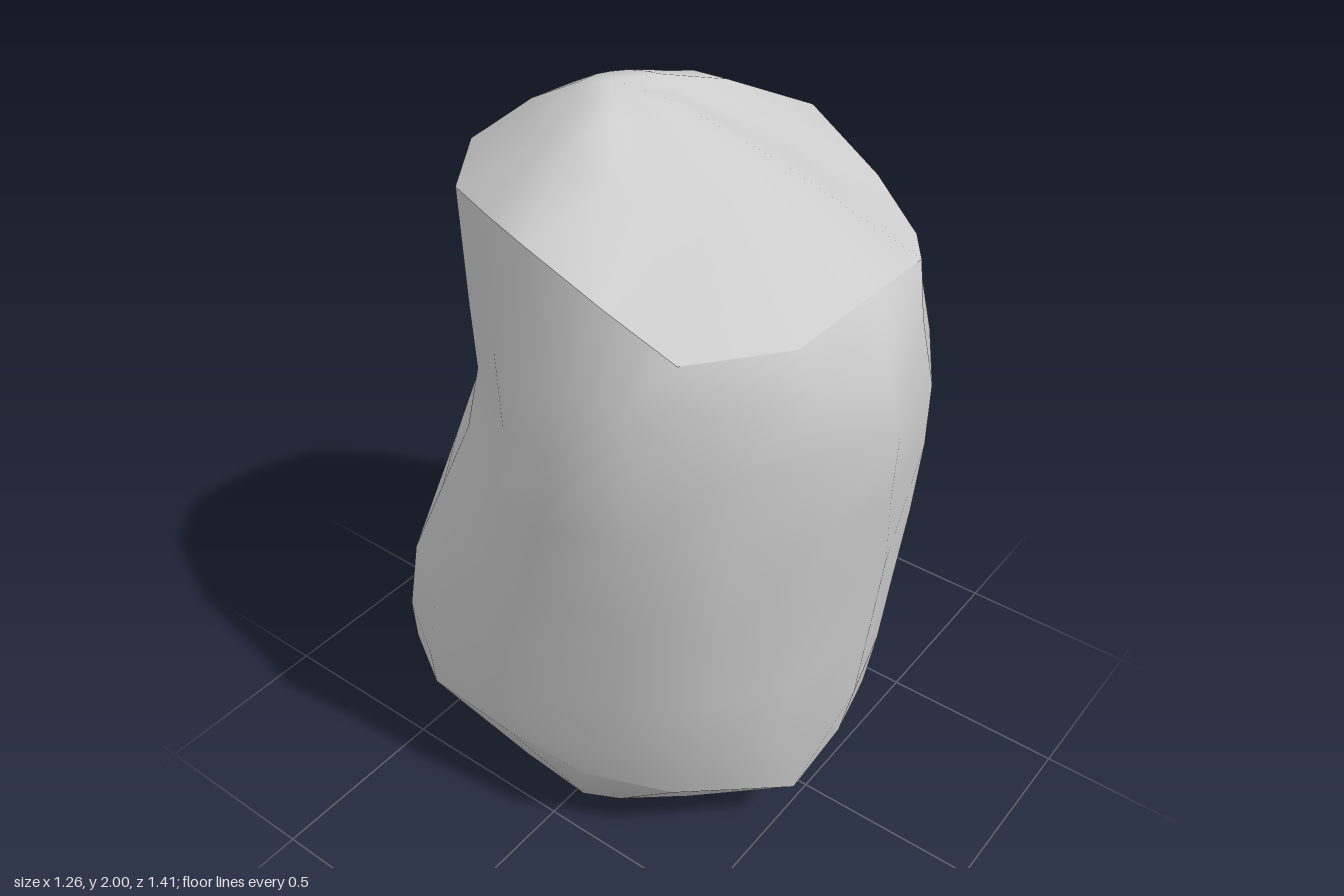
import * as THREE from 'three';
import { mergeVertices } from 'three/addons/utils/BufferGeometryUtils.js';

const SIDES = 16;

// Uneven oval ring at height y: extents on each side of a middle (x0, z0), then the
// squareness of its front right (+x), back right, back left and front left corners.
// Points run from the front (+z) round by +x.
function ovalRing([y, xMin, xMax, zMin, zMax, x0, z0, ...corners]) {
  const ring = [];
  for (let i = 0; i < SIDES; i++) {
    const a = (i / SIDES) * Math.PI * 2;
    const s = Math.sin(a), c = Math.cos(a);
    const e = corners[Math.floor((i * 4) / SIDES)];
    const u = Math.pow(Math.abs(s), 2 / e), v = Math.pow(Math.abs(c), 2 / e);
    ring.push([
      x0 + u * (s > 0 ? xMax - x0 : xMin - x0),
      y,
      z0 + v * (c > 0 ? zMax - z0 : zMin - z0),
    ]);
  }
  return ring;
}

// Ring between a rim and a point: t = 0 is the rim, 1 the point; lift raises it.
function shrinkRing(rim, point, t, lift = 0) {
  return rim.map((p) => p.map((v, k) => v + (point[k] - v) * t + (k === 1 ? lift : 0)));
}

// Smooth skin over rings listed from bottom to top.
function skin(name, rings, material) {
  const index = [];
  for (let r = 0; r < rings.length - 1; r++) {
    for (let i = 0; i < SIDES; i++) {
      const j = (i + 1) % SIDES;
      const a = r * SIDES + i, b = r * SIDES + j;
      index.push(a, b, b + SIDES, a, b + SIDES, a + SIDES);
    }
  }
  let geometry = new THREE.BufferGeometry();
  geometry.setAttribute('position', new THREE.Float32BufferAttribute(rings.flat(2), 3));
  geometry.setIndex(index);
  geometry = mergeVertices(geometry);
  geometry.computeVertexNormals();
  const mesh = new THREE.Mesh(geometry, material);
  mesh.name = name;
  return mesh;
}

export function createModel() {
  const group = new THREE.Group();
  group.name = 'boulder';
  const stone = new THREE.MeshStandardMaterial({ color: 0xcccccc, roughness: 0.9 });

  // Chipped edge round the foot
  const lowerRim = [
    [0.05, 0.22, 0.56], [0.22, 0.25, 0.53], [0.37, 0.30, 0.42], [0.52, 0.30, 0.24],
    [0.60, 0.30, 0.00], [0.625, 0.31, -0.16], [0.58, 0.30, -0.39], [0.38, 0.31, -0.55],
    [0.05, 0.33, -0.65], [-0.18, 0.33, -0.65], [-0.44, 0.31, -0.54], [-0.54, 0.31, -0.37],
    [-0.55, 0.30, -0.10], [-0.53, 0.28, 0.14], [-0.42, 0.25, 0.35], [-0.17, 0.19, 0.56],
  ];

  // Slanted edge round the crown, low at the front
  const upperRim = [
    [0.00, 1.635, 0.58], [0.20, 1.62, 0.575], [0.37, 1.575, 0.47], [0.43, 1.66, 0.32],
    [0.39, 1.81, 0.15], [0.36, 1.82, 0.00], [0.28, 1.78, -0.17], [0.18, 1.75, -0.32],
    [0.00, 1.80, -0.355], [-0.24, 1.81, -0.37], [-0.41, 1.79, -0.26], [-0.48, 1.80, -0.10],
    [-0.545, 1.81, 0.06], [-0.54, 1.73, 0.26], [-0.48, 1.62, 0.40], [-0.28, 1.62, 0.56],
  ];

  // Body, bulging at the lower back with a hollow above:
  // y, xMin, xMax, zMin, zMax, x0, z0, four corners
  const bodyRings = [
    [0.42, -0.58, 0.63, -0.70, 0.61, 0.02, -0.10, 1.85, 2.4, 2.5, 2.5],
    [0.65, -0.59, 0.60, -0.66, 0.63, 0.03, -0.05, 1.9, 2.25, 2.4, 2.5],
    [0.90, -0.60, 0.59, -0.58, 0.66, 0.02, 0.05, 1.85, 1.95, 2.0, 2.3],
    [1.15, -0.62, 0.57, -0.47, 0.69, -0.05, 0.13, 1.95, 2.0, 1.7, 1.85],
    [1.35, -0.635, 0.54, -0.42, 0.71, -0.08, 0.18, 1.85, 2.5, 1.6, 1.5],
    [1.52, -0.60, 0.48, -0.39, 0.67, -0.09, 0.16, 2.0, 2.4, 1.85, 1.75],
  ].map(ovalRing);
  group.add(skin('body', [lowerRim, ...bodyRings, upperRim], stone));

  // Crown: sloping facet rising to a small blunt peak
  const peak = [-0.13, 2, -0.04];
  group.add(skin('crown', [
    upperRim,
    shrinkRing(upperRim, peak, 0.45, 0.035),
    shrinkRing(upperRim, peak, 0.78, 0.035).map(([x, y, z]) => [x, Math.min(y, 1.985), z]),
    shrinkRing(upperRim, peak, 1),
  ], stone));

  // Underside: tapered to a nearly flat base
  const base = ovalRing([0.045, -0.43, 0.40, -0.30, 0.45, -0.03, 0.05, 1.75, 2.3, 4, 1.3]);
  group.add(skin('underside', [
    shrinkRing(base, [0, 0, -0.14], 1),
    base,
    lowerRim,
  ], stone));

  return group;
}
